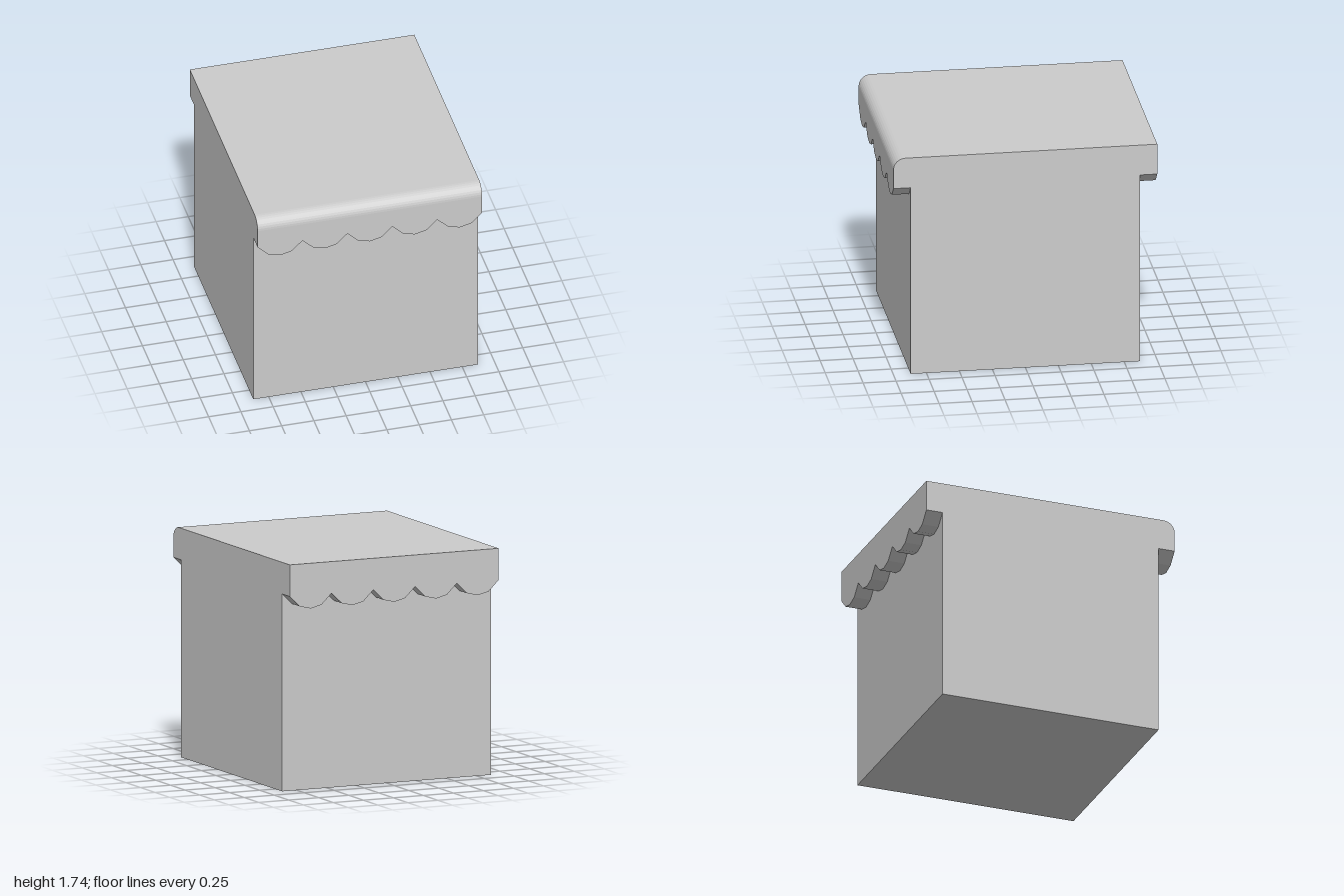
import * as THREE from 'three';

const HALF = 0.87;      // half width of the body
const EDGE = 1.0;       // outer face of the overhangs
const TOP = 1.74;
const CUSP = 1.5;       // height where the scallops meet
const SCALLOPS = 5;

export function createModel() {
  const group = new THREE.Group();
  const material = new THREE.MeshStandardMaterial({ color: 0xcccccc, flatShading: true });

  const add = (name, geometry) => {
    const mesh = new THREE.Mesh(geometry, material);
    mesh.name = name;
    group.add(mesh);
  };

  // Body with front and back overhangs: side profile (z, y) swept across x
  const r = 0.09;
  const profile = new THREE.Shape();
  profile.moveTo(-HALF, 0);
  profile.lineTo(HALF, 0);
  profile.lineTo(HALF, CUSP);
  profile.lineTo(EDGE, CUSP);
  profile.lineTo(EDGE, TOP - r);
  profile.absarc(EDGE - r, TOP - r, r, 0, Math.PI / 2, false); // rounded front edge
  profile.lineTo(-EDGE, TOP);
  profile.lineTo(-EDGE, CUSP);
  profile.lineTo(-HALF, CUSP);
  const body = new THREE.ExtrudeGeometry(profile, { depth: 2 * HALF, bevelEnabled: false, curveSegments: 4 });
  body.rotateY(-Math.PI / 2).translate(HALF, 0, 0);
  add('body', body);

  // Scalloped trim hanging below each overhang
  const pitch = (2 * HALF) / SCALLOPS;
  const scallops = [];
  for (let i = 0; i < SCALLOPS; i++) {
    const x = -HALF + (i + 0.5) * pitch;
    scallops.push(new THREE.Shape([
      [-pitch / 2, CUSP], [-0.09, 1.418], [0, 1.396], [0.09, 1.418], [pitch / 2, CUSP],
    ].map(([dx, y]) => new THREE.Vector2(x + dx, y))));
  }
  for (const [name, z] of [['frontScallops', HALF], ['backScallops', -EDGE]]) {
    const trim = new THREE.ExtrudeGeometry(scallops, { depth: EDGE - HALF, bevelEnabled: false });
    add(name, trim.translate(0, 0, z));
  }

  return group;
}
